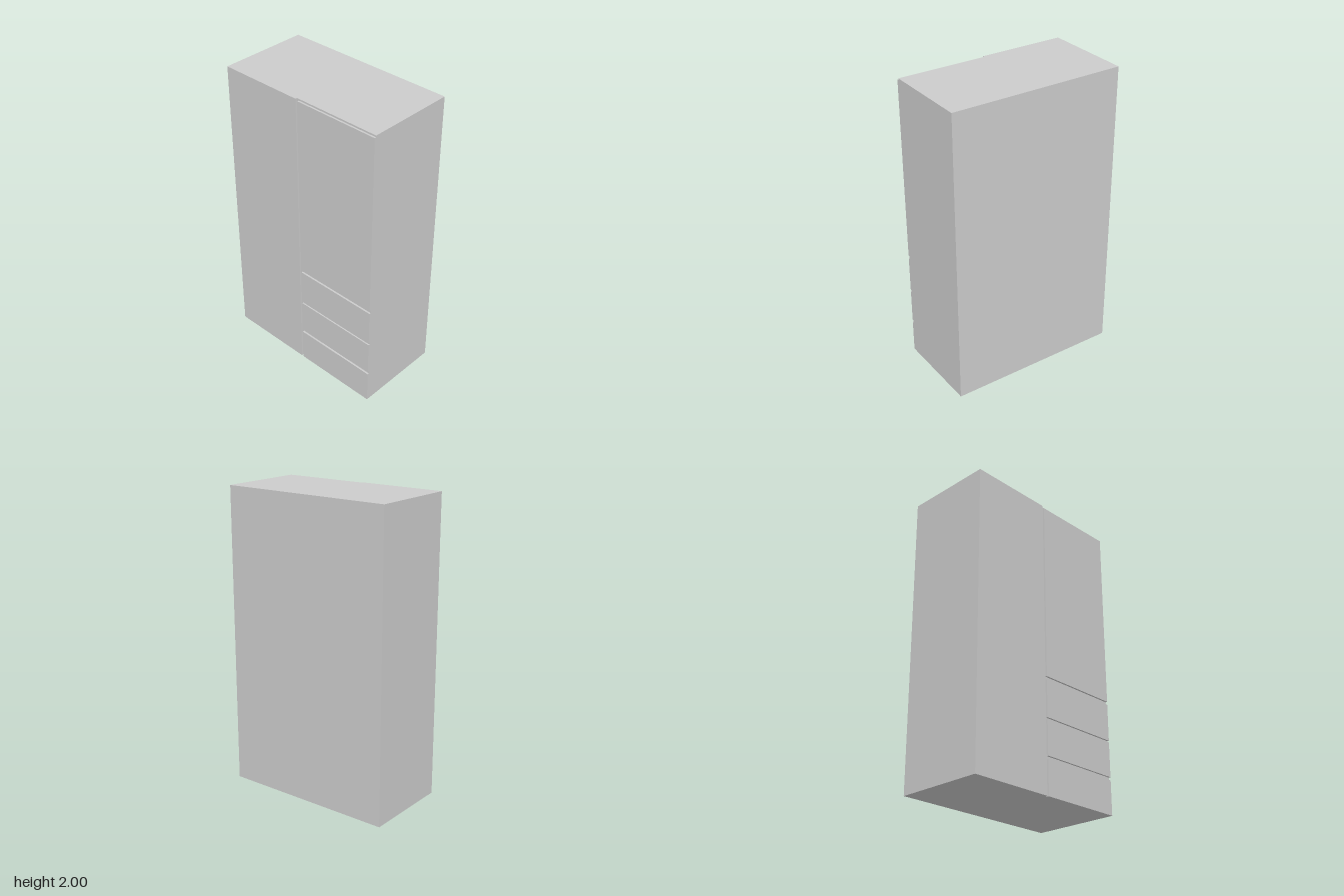
import * as THREE from 'three';

const W = 0.3;        // half width (x)
const D = 0.588;      // half depth (z)
const H = 2;          // height
const T = 0.012;      // thickness of the facing panels
const GAP_BACK = -0.01, GAP_FRONT = 0.005; // vertical groove in z

export function createModel() {
  const group = new THREE.Group();
  group.name = 'cabinet';
  const material = new THREE.MeshStandardMaterial({ color: 0xcccccc, flatShading: true });

  // Carcass: plan outline stepped in where the door and drawers sit
  const plan = new THREE.Shape([
    [-W, D - (D - GAP_BACK)], [-W + T, GAP_BACK], [-W + T, D], [W, D], [W, -D], [-W, -D],
  ].map(([x, z]) => new THREE.Vector2(x, -z)));
  const bodyGeometry = new THREE.ExtrudeGeometry(plan, { depth: H, bevelEnabled: false });
  bodyGeometry.rotateX(-Math.PI / 2);
  const body = new THREE.Mesh(bodyGeometry, material);
  body.name = 'carcass';
  group.add(body);

  // Facing panels with thin gaps between them: three drawers below a tall door
  const panels = [
    ['lowerDrawer', 0, 0.228],
    ['middleDrawer', 0.249, 0.482],
    ['upperDrawer', 0.493, 0.742],
    ['door', 0.763, 1.989],
  ];
  for (const [name, bottom, top] of panels) {
    const panel = new THREE.Mesh(new THREE.BoxGeometry(T, top - bottom, D - GAP_FRONT), material);
    panel.name = name;
    panel.position.set(-W + T / 2, (bottom + top) / 2, (D + GAP_FRONT) / 2);
    group.add(panel);
  }
  return group;
}
